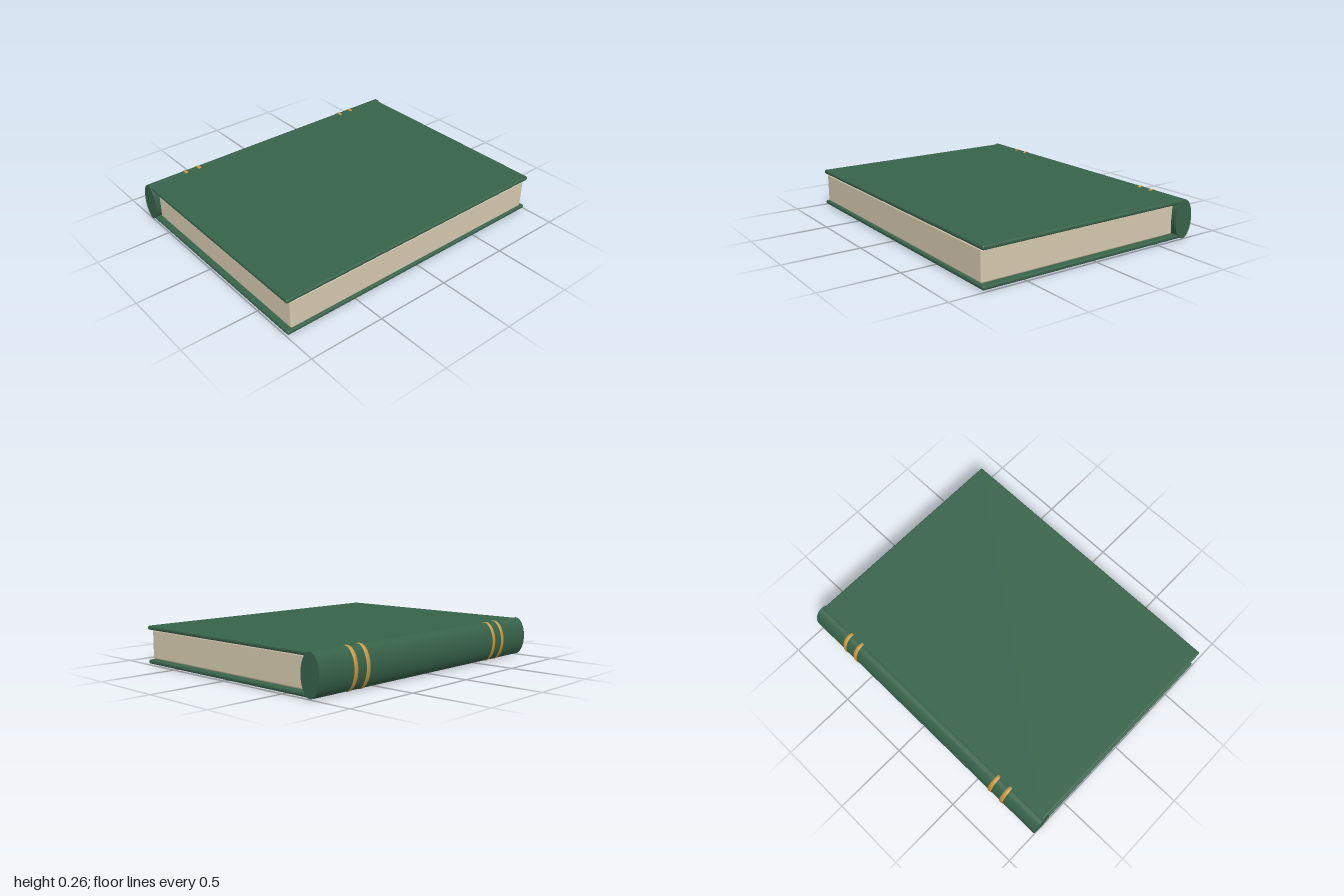
import * as THREE from 'three';
import { RoundedBoxGeometry } from 'three/addons/geometries/RoundedBoxGeometry.js';

export function createModel() {
  const book = new THREE.Group();
  book.name = 'book';

  const material = (name, color) => {
    const m = new THREE.MeshStandardMaterial({ color });
    m.name = name;
    return m;
  };
  const green = material('green cloth', 0x37634a);
  const cream = material('cream paper', 0xd6cab0);
  const gold = material('gold', 0xc8963c);

  const add = (name, geometry, mat, x, y, z) => {
    const mesh = new THREE.Mesh(geometry, mat);
    mesh.name = name;
    mesh.position.set(x, y, z);
    book.add(mesh);
  };

  const midY = 0.13;
  const spineX = -0.715;

  // Two boards with softly rounded edges
  const board = new RoundedBoxGeometry(1.493, 0.026, 1.99, 3, 0.01);
  add('frontCover', board, green, 0.0375, midY + 0.111, 0);
  add('backCover', board, green, 0.0375, midY - 0.111, 0);

  // Page block, set in from the boards at head, tail and fore edge
  add('pages', new RoundedBoxGeometry(1.43, 0.194, 1.93, 3, 0.012), cream, 0.06, midY, 0);

  // Spine: an elliptical roll along the full length
  const spine = new THREE.CylinderGeometry(1, 1, 2, 48);
  spine.rotateX(Math.PI / 2).scale(0.07, 0.1265, 1);
  add('spine', spine, green, spineX, midY, 0);

  // Raised gold bands in pairs near each end of the spine
  const band = new THREE.TorusGeometry(1, 0.06, 10, 48);
  band.scale(0.0725, 0.1226, 0.25);
  for (const z of [-0.72, -0.62, 0.62, 0.72]) {
    add('spineBand', band, gold, spineX, midY, z);
  }

  return book;
}
